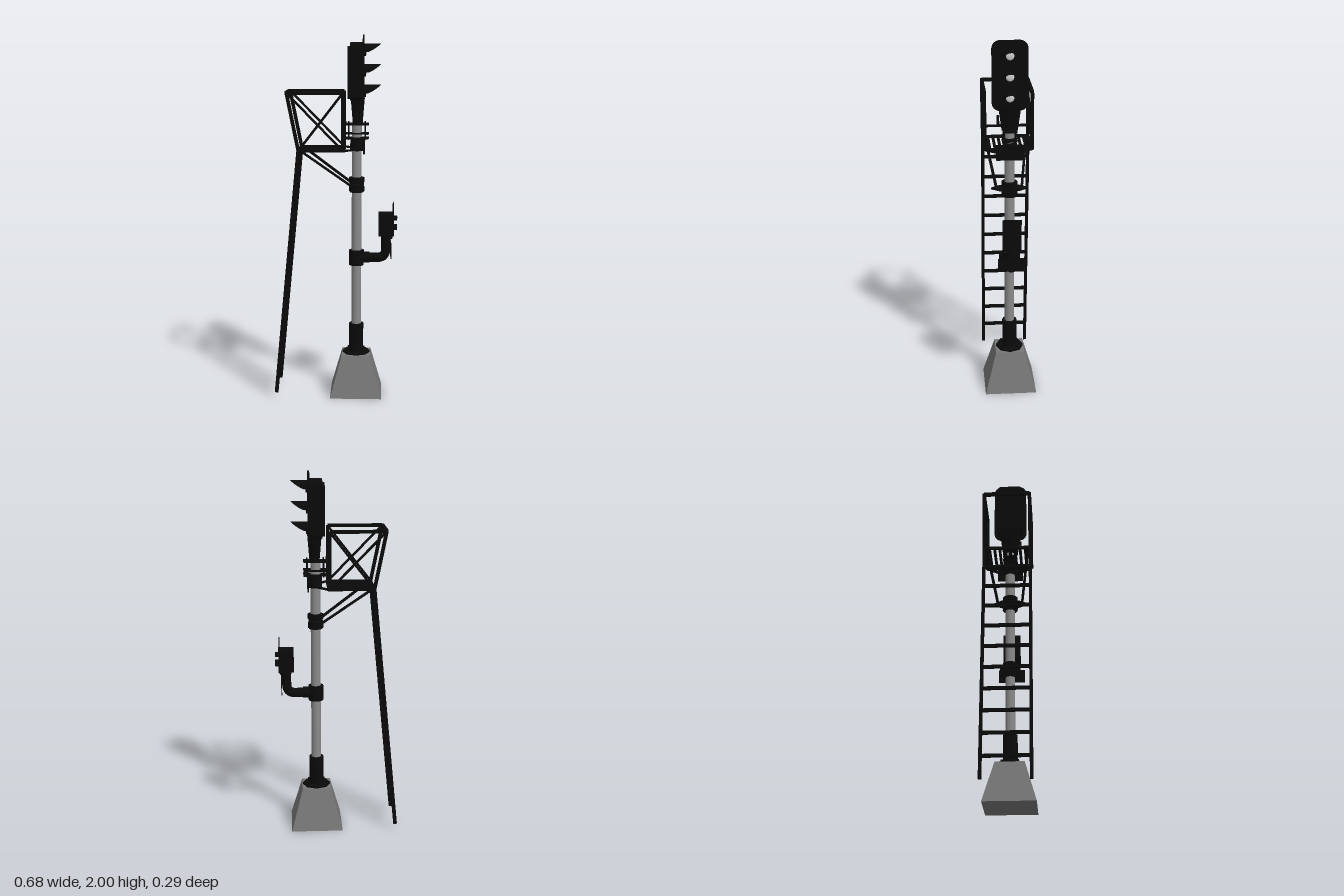
import * as THREE from 'three';

const mat = (color) => new THREE.MeshStandardMaterial({ color, side: THREE.DoubleSide });
const V = (x, y, z) => new THREE.Vector3(x, y, z);
const PX = 0.112; // mast axis

export function createModel() {
  const model = new THREE.Group();
  const black = mat(0x0a0a0a), steel = mat(0x8a8a8a), lensGlass = mat(0xcccccc);
  const concrete = mat(0x777777);
  concrete.flatShading = true;

  const group = (name) => {
    const g = new THREE.Group();
    g.name = name;
    model.add(g);
    return g;
  };
  const add = (parent, name, geo, material, x = 0, y = 0, z = 0) => {
    const m = new THREE.Mesh(geo, material);
    m.name = name;
    m.position.set(x, y, z);
    parent.add(m);
    return m;
  };
  const box = (parent, name, w, h, d, x, y, z) =>
    add(parent, name, new THREE.BoxGeometry(w, h, d), black, x, y, z);
  const drum = (parent, name, r, y0, y1, x = PX, z = 0, material = black, sides = 20) =>
    add(parent, name, new THREE.CylinderGeometry(r, r, y1 - y0, sides), material, x, (y0 + y1) / 2, z);
  // Square bar between two points
  const beam = (parent, name, a, b, t = 0.016, h = t) => {
    const m = add(parent, name, new THREE.BoxGeometry(t, h, a.distanceTo(b)), black);
    m.position.copy(a).lerp(b, 0.5);
    m.lookAt(b);
    return m;
  };
  // Flat polygonal clamp plate, stretched across the mast
  const clampPlate = (parent, y, rx, rz, h = 0.01) => {
    const m = add(parent, 'clampPlate', new THREE.CylinderGeometry(1, 1, h, 6), black, PX, y, 0);
    m.scale.set(rx, 1, rz);
    return m;
  };
  // Rounded panel facing +x
  const panel = (parent, name, w, h, r, depth, x, y) => {
    const s = new THREE.Shape(), a = w / 2, b = h / 2;
    s.moveTo(-a + r, -b).lineTo(a - r, -b).absarc(a - r, -b + r, r, -Math.PI / 2, 0)
      .lineTo(a, b - r).absarc(a - r, b - r, r, 0, Math.PI / 2)
      .lineTo(-a + r, b).absarc(-a + r, b - r, r, Math.PI / 2, Math.PI)
      .lineTo(-a, -b + r).absarc(-a + r, -b + r, r, Math.PI, Math.PI * 1.5);
    const geo = new THREE.ExtrudeGeometry(s, { depth, bevelEnabled: false, curveSegments: 6 });
    geo.rotateY(Math.PI / 2);
    return add(parent, name, geo, black, x, y, 0);
  };

  // Concrete foot: a four-sided frustum
  const foot = new THREE.CylinderGeometry(0.08 * Math.SQRT2, 0.143 * Math.SQRT2, 0.23, 4);
  foot.rotateY(Math.PI / 4);
  add(model, 'foot', foot, concrete, PX, 0.115, 0);

  // Mast with base flange and sleeve
  const mast = group('mast');
  drum(mast, 'baseFlange', 0.077, 0.228, 0.24, PX, 0, black, 8);
  drum(mast, 'baseSleeve', 0.04, 0.24, 0.4);
  drum(mast, 'pole', 0.027, 0.24, 1.52, PX, 0, steel);
  for (let i = 0; i < 4; i++) {
    const a = Math.PI / 4 + i * Math.PI / 2;
    drum(mast, 'anchorBolt', 0.007, 0.238, 0.252, PX + 0.06 * Math.cos(a), 0.06 * Math.sin(a), black, 6);
  }

  // Ladder
  const ladder = group('ladder');
  const ladderX = (y) => -0.33 + 0.13 * (y - 0.03) / 1.355;
  for (const s of [-1, 1])
    beam(ladder, 'stringer', V(-0.33, 0.03, s * 0.127), V(-0.2, 1.385, s * 0.127), 0.017, 0.02);
  for (let i = 0; i < 10; i++) {
    const y = 0.15 + i * 0.1235;
    beam(ladder, 'rung', V(ladderX(y), y, -0.127), V(ladderX(y), y, 0.127), 0.016);
  }

  // Service platform with guard rails
  const platform = group('platform');
  const floorY = 1.385, railY = 1.695;
  for (let i = 0; i < 8; i++)
    box(platform, 'floorSlat', 0.24, 0.008, 0.015, -0.08, floorY, (i - 3.5) * 0.0283);
  for (const x of [-0.198, 0.042])
    box(platform, 'floorCrossbar', 0.016, 0.014, 0.254, x, floorY, 0);
  for (const s of [-1, 1]) {
    const z = s * 0.127;
    const backLow = V(-0.2, floorY, z), backTop = V(-0.262, railY, z);
    const mastLow = V(0.04, floorY, z), mastTop = V(0.04, railY, z);
    beam(platform, 'floorRail', backLow, mastLow, 0.016, 0.012);
    beam(platform, 'backPost', backLow, backTop, 0.018);
    beam(platform, 'mastSidePost', mastLow, mastTop, 0.018);
    beam(platform, 'topRail', backTop, mastTop, 0.018);
    beam(platform, 'crossBrace', backLow, mastTop, 0.012);
    beam(platform, 'crossBrace', backTop, mastLow, 0.012);
    beam(platform, 'mastLink', mastLow, V(PX, floorY, s * 0.04), 0.014, 0.01);
    beam(platform, 'supportStrut', V(-0.19, floorY, s * 0.115), V(0.08, 1.19, s * 0.07), 0.013);
  }
  box(platform, 'backTopRail', 0.018, 0.018, 0.254, -0.262, railY, 0);
  box(platform, 'middleRail', 0.012, 0.012, 0.254, 0.045, 1.52, 0);

  // Clamp that carries the platform struts
  const strutClamp = group('strutClamp');
  drum(strutClamp, 'collar', 0.037, 1.145, 1.23);
  for (const y of [1.165, 1.215]) drum(strutClamp, 'band', 0.043, y - 0.013, y + 0.013);
  clampPlate(strutClamp, 1.19, 0.045, 0.1);

  // Clamps and name plate under the signal head
  const topClamp = group('topClamp');
  drum(topClamp, 'collar', 0.036, 1.375, 1.45);
  box(topClamp, 'identityPlate', 0.008, 0.085, 0.145, 0.152, 1.403, 0);
  for (const y of [1.445, 1.47, 1.52])
    box(topClamp, 'headBracket', 0.13, 0.009, 0.075, PX, y, 0);
  for (const dx of [-0.045, 0.045])
    for (const z of [-0.03, 0.03])
      drum(topClamp, 'bracketBolt', 0.004, 1.435, 1.535, PX + dx, z, black, 6);

  // Three-lamp signal head facing +x
  const head = group('signalHead');
  const neck = new THREE.CylinderGeometry(0.06 * Math.SQRT2, 0.042 * Math.SQRT2, 0.14, 4);
  neck.rotateY(Math.PI / 4);
  add(head, 'neck', neck, black, 0.117, 1.592, 0).scale.x = 0.62;
  panel(head, 'housing', 0.15, 0.31, 0.025, 0.075, 0.075, 1.805);
  panel(head, 'rearDoor', 0.13, 0.28, 0.02, 0.016, 0.062, 1.8);
  panel(head, 'backboard', 0.19, 0.37, 0.045, 0.008, 0.143, 1.815);
  for (const y of [1.72, 1.88]) box(head, 'hinge', 0.02, 0.03, 0.012, 0.085, y, -0.078);
  box(head, 'latch', 0.02, 0.05, 0.012, PX, 1.57, 0.06);
  for (const y of [1.92, 1.81, 1.7]) {
    const ring = new THREE.CylinderGeometry(0.032, 0.032, 0.012, 20);
    ring.rotateZ(Math.PI / 2);
    add(head, 'lampRing', ring, black, 0.155, y, 0);
    const lens = new THREE.SphereGeometry(0.022, 18, 8, 0, Math.PI * 2, 0, Math.PI / 2);
    lens.rotateZ(-Math.PI / 2);
    add(head, 'lens', lens, lensGlass, 0.16, y, 0).scale.x = 0.3;
    // Hood: an arched sheet that shortens toward its lower edges
    const hood = new THREE.PlaneGeometry(2, 1, 20, 4), p = hood.attributes.position;
    for (let i = 0; i < p.count; i++) {
      const u = p.getX(i), v = p.getY(i) + 0.5, a = u * 1.9;
      p.setXYZ(i, v * 0.092 * (1 - 0.75 * u * u), Math.cos(a) * 0.034, Math.sin(a) * 0.034);
    }
    hood.computeVertexNormals();
    add(head, 'hood', hood, black, 0.151, y, 0);
  }

  // Lower signal on a bent tube arm
  const lower = group('lowerSignal');
  drum(lower, 'collar', 0.041, 0.735, 0.82);
  for (const z of [-0.045, 0.045]) box(lower, 'collarLug', 0.03, 0.06, 0.025, PX, 0.778, z);
  const path = new THREE.CurvePath();
  path.add(new THREE.LineCurve3(V(0.13, 0.778, 0), V(0.23, 0.778, 0)));
  path.add(new THREE.QuadraticBezierCurve3(V(0.23, 0.778, 0), V(0.275, 0.778, 0), V(0.275, 0.83, 0)));
  path.add(new THREE.LineCurve3(V(0.275, 0.83, 0), V(0.275, 0.91, 0)));
  add(lower, 'bentArm', new THREE.TubeGeometry(path, 32, 0.026, 14), black);
  drum(lower, 'armSocket', 0.031, 0.76, 0.8, 0.165).rotation.z = Math.PI / 2;
  drum(lower, 'neckRing', 0.031, 0.885, 0.905, 0.28);
  box(lower, 'lampBox', 0.085, 0.125, 0.085, 0.277, 0.968, 0);
  box(lower, 'backboard', 0.005, 0.18, 0.1, 0.315, 0.995, 0);
  box(lower, 'lowerPlate', 0.005, 0.075, 0.148, 0.303, 0.822, 0);
  for (const [y, z] of [[1.0, 0], [0.95, -0.018], [0.95, 0.018]]) {
    const lamp = new THREE.CylinderGeometry(0.014, 0.014, 0.02, 14);
    lamp.rotateZ(Math.PI / 2);
    add(lower, 'lamp', lamp, black, 0.327, y, z);
  }
  return model;
}
